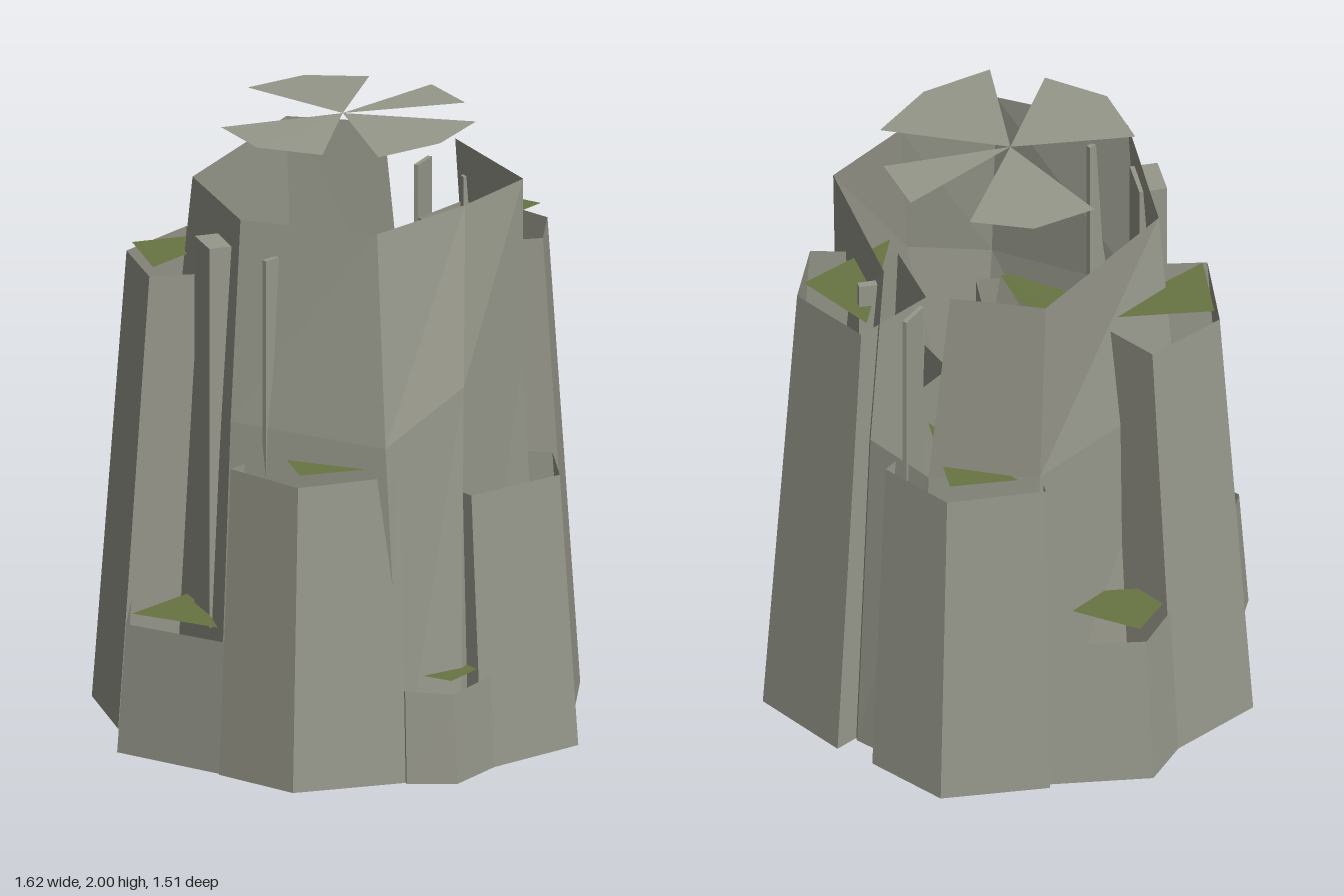
import * as THREE from 'three';

const stone = new THREE.MeshStandardMaterial({ color: 0x97988b, side: THREE.DoubleSide, flatShading: true });
stone.name = 'stone';
const moss = new THREE.MeshStandardMaterial({ color: 0x687443, side: THREE.DoubleSide, flatShading: true });
moss.name = 'moss';

// Non-indexed mesh from a list of triangles (each three [x, y, z] corners)
function triMesh(name, tris, material) {
  const geo = new THREE.BufferGeometry();
  geo.setAttribute('position', new THREE.Float32BufferAttribute(tris.flat(2), 3));
  geo.computeVertexNormals();
  const mesh = new THREE.Mesh(geo, material);
  mesh.name = name;
  return mesh;
}

const fan = (pts) => pts.slice(2).map((p, i) => [pts[0], pts[i + 1], p]);
const quad = (a, b, c, d) => [[a, b, c], [a, c, d]];

// Tapered hollow column, open at the top: three outer corners [x, z] on the ground,
// listed clockwise or anticlockwise, closed towards the middle
function column(name, outer, height) {
  const [a, , c] = outer;
  const ring = [...outer, [c[0] * 0.55, c[1] * 0.55], [a[0] * 0.55, a[1] * 0.55]];
  const area = ring.reduce((s, [x, z], i) => {
    const [x2, z2] = ring[(i + 1) % ring.length];
    return s + x * z2 - x2 * z;
  }, 0);
  if (area > 0) ring.reverse();
  const k = 1 - 0.09 * height;
  const low = ring.map(([x, z]) => [x, 0, z]);
  const high = ring.map(([x, z], i) => [x * k, height - (i % 2) * 0.008, z * k]);
  const tris = fan([...low].reverse());
  low.forEach((p, i) => {
    const j = (i + 1) % low.length;
    tris.push(...quad(p, low[j], high[j], high[i]));
  });
  return triMesh(name, tris, stone);
}

export function createModel() {
  const group = new THREE.Group();
  group.name = 'rockPillar';

  // Outer columns: name, ground corners, height, moss height, moss outline
  const columns = [
    ['leftColumn', [[0.63, -0.39], [0.805, -0.09], [0.7, 0.16]], 1.57, 1.605,
      [[0.52, -0.32], [0.67, -0.08], [0.35, 0.1]]],
    ['frontLeftColumn', [[0.64, 0.29], [0.59, 0.51], [0.22, 0.65]], 0.9],
    ['frontColumn', [[0.27, 0.63], [0.1, 0.755], [-0.05, 0.7]], 0.3, 0.33,
      [[-0.16, 0.4], [0.38, 0.51], [0.1, 0.7]]],
    ['frontRightColumn', [[-0.05, 0.69], [-0.42, 0.67], [-0.58, 0.42]], 1.0, 1.03,
      [[-0.34, 0.22], [-0.14, 0.44], [-0.12, 0.6], [-0.37, 0.59]]],
    ['rightColumn', [[-0.57, 0.42], [-0.81, 0.1], [-0.71, -0.13]], 0.43, 0.46,
      [[-0.76, 0.1], [-0.56, 0.35], [-0.5, -0.05]]],
    ['backRightColumn', [[-0.73, -0.12], [-0.7, -0.46], [-0.41, -0.63]], 1.5, 1.525,
      [[-0.59, -0.39], [-0.21, -0.36], [-0.61, -0.13]]],
    ['backColumn', [[-0.44, -0.6], [-0.31, -0.76], [0.03, -0.72]], 0.52, 0.55,
      [[-0.28, -0.7], [0.06, -0.46], [-0.45, -0.5]]],
    ['backLeftColumn', [[0.02, -0.74], [0.37, -0.72], [0.54, -0.49]], 1.11, 1.145,
      [[0.1, -0.63], [0.32, -0.63], [0.31, -0.27]]],
  ];
  for (const [name, outer, height, mossY, patch] of columns) {
    group.add(column(name, outer, height));
    if (patch) {
      const pts = patch.map(([x, z], i) => [x, mossY + (i === 1 ? 0.006 : -0.004), z]);
      group.add(triMesh(name + 'Moss', fan(pts), moss));
    }
  }

  // Core: open irregular tube, [x, y, z] rings at the ground, the middle and the rim
  const base = [[-0.05, 0, 0.66], [0.16, 0, 0.62], [0.55, 0, 0.3], [0.56, 0, -0.36],
    [0.4, 0, -0.56], [0.03, 0, -0.66], [-0.55, 0, -0.32], [-0.55, 0, 0.33]];
  const middle = [[-0.1, 1.1, 0.64], [0.2, 1.24, 0.53], [0.49, 1.2, 0.26], [0.51, 1.15, -0.33],
    [0.36, 1.1, -0.5], [0.03, 1.15, -0.64], [-0.49, 1.15, -0.28], [-0.5, 1.13, 0.3]];
  const rim = [[-0.09, 1.78, 0.53], [0.25, 1.8, 0.4], [0.51, 1.8, 0.21], [0.46, 1.78, -0.3],
    [0.29, 1.79, -0.5], [0.01, 1.8, -0.63], [-0.45, 1.78, -0.21], [-0.46, 1.79, 0.28]];
  const wall = [];
  base.forEach((p, i) => {
    const j = (i + 1) % base.length;
    wall.push(...quad(p, base[j], middle[j], middle[i]));
    // The upper wall is broken open at the back left
    if (i !== 3) wall.push([middle[i], middle[j], rim[j]], [middle[i], rim[j], rim[i]]);
  });
  group.add(triMesh('coreWall', wall, stone));
  group.add(triMesh('coreFloor', fan([...base].reverse()), stone));

  // Thin upright shards leaning on the core: x, z, width, depth, bottom, top, turn
  const shards = [
    [-0.38, 0.36, 0.08, 0.015, 0.95, 1.68, 0.5],
    [-0.495, 0.14, 0.09, 0.14, 0.42, 1.68, 0],
    [0.39, -0.41, 0.1, 0.015, 1.0, 1.68, 0.79],
    [0.49, -0.22, 0.07, 0.025, 1.4, 1.68, 0],
  ];
  for (const [x, z, w, d, y0, y1, turn] of shards) {
    const shard = new THREE.Mesh(new THREE.BoxGeometry(w, y1 - y0, d), stone);
    shard.position.set(x, (y0 + y1) / 2, z);
    shard.rotation.y = turn;
    shard.name = 'shard';
    group.add(shard);
  }

  // Floating cap: four flat petals around one centre, drooping slightly outwards
  const petals = [
    [[0.2, -0.38], [0.01, -0.46], [-0.2, -0.4]],
    [[0.4, -0.03], [0.36, -0.24]],
    [[-0.04, 0.4], [0.19, 0.33], [0.37, 0.16]],
    [[-0.41, -0.05], [-0.37, 0.18], [-0.2, 0.32]],
  ];
  for (const petal of petals) {
    const pts = [[-0.01, 2, -0.03], ...petal.map(([x, z]) => [x, 1.99, z])];
    group.add(triMesh('capPetal', fan(pts), stone));
  }
  return group;
}
